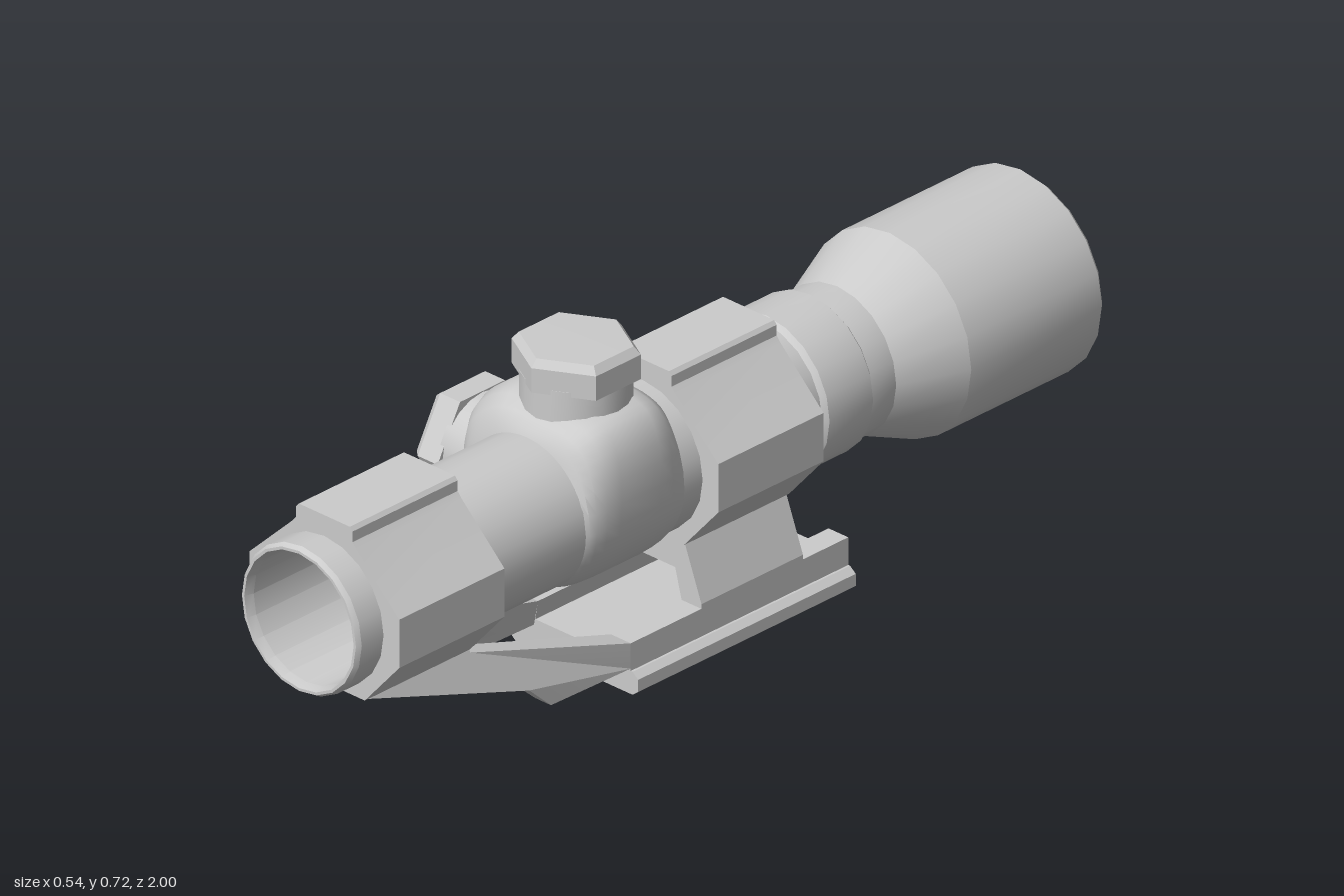
import * as THREE from 'three';
import { toCreasedNormals } from 'three/addons/utils/BufferGeometryUtils.js';

const material = new THREE.MeshStandardMaterial({ color: 0xcccccc, side: THREE.DoubleSide });
const CX = 0.053, CY = 0.395; // optical axis

function part(name, geometry, parent, crease = 0.35) {
  const mesh = new THREE.Mesh(toCreasedNormals(geometry, crease), material);
  mesh.name = name;
  parent.add(mesh);
  return mesh;
}

const shapeOf = (pts) => new THREE.Shape(pts.map(([x, y]) => new THREE.Vector2(x, y)));

// Extrude an x-y section between two z positions
function extrudeZ(shape, z0, z1) {
  const g = new THREE.ExtrudeGeometry(shape, { depth: z1 - z0, bevelEnabled: false, curveSegments: 20 });
  return g.translate(0, 0, z0);
}

// Half widths of the tapered mount at height y
const outerX = (y) => 0.15 - 0.045 * Math.max(0, (y - 0.12) / 0.117);
const innerX = (y) => 0.108 - 0.028 * Math.max(0, (y - 0.07) / 0.105);

// Extrude a z-y outline across x, then lean its sides with the taper
function sideProfile(pts, innerOf, outerOf) {
  const g = new THREE.ExtrudeGeometry(shapeOf(pts.map(([z, y]) => [-z, y])), { depth: 1, bevelEnabled: false });
  g.rotateY(Math.PI / 2); // depth -> +x, outline x -> -z
  const p = g.attributes.position;
  for (let i = 0; i < p.count; i++) {
    const y = p.getY(i);
    p.setX(i, p.getX(i) > 0.5 ? outerOf(y) : innerOf(y));
  }
  return g;
}

// Central housing: circular ends swelling into a lobed section
function saddleGeometry() {
  const section = new THREE.CatmullRomCurve3([
    [0.172, 0], [0.168, 0.13], [0.137, 0.19], [0.09, 0.207], [0, 0.207], [-0.1, 0.212], [-0.16, 0.18],
    [-0.2, 0.135], [-0.213, 0.08], [-0.21, 0], [-0.21, -0.08], [-0.213, -0.11], [-0.18, -0.147],
    [-0.1, -0.173], [0, -0.172], [0.1, -0.14], [0.155, -0.07],
  ].map(([x, y]) => new THREE.Vector3(x, y, 0)), true);
  const n = 48;
  const rings = [[0.1, 0], [0.105, 0.3], [0.12, 0.6], [0.145, 0.85], [0.18, 1],
    [0.29, 1], [0.325, 0.85], [0.35, 0.6], [0.365, 0.3], [0.372, 0]];
  const pos = [], idx = [];
  rings.forEach(([z, blend], r) => {
    for (let i = 0; i < n; i++) {
      const s = section.getPoint(i / n);
      const c = s.clone().setLength(0.158);
      c.lerp(s, blend);
      pos.push(c.x, c.y, z);
      if (r === 0) continue;
      const j = (i + 1) % n, a = (r - 1) * n, b = r * n;
      idx.push(a + i, a + j, b + j, a + i, b + j, b + i);
    }
  });
  const g = new THREE.BufferGeometry();
  g.setAttribute('position', new THREE.Float32BufferAttribute(pos, 3));
  g.setIndex(idx);
  return g;
}

// Adjustment turret: round neck, hexagonal cap, chamfered top
function turret(name) {
  const group = new THREE.Group();
  group.name = name;
  part('turretNeck', new THREE.CylinderGeometry(0.111, 0.111, 0.13, 20).translate(0, 0.195, 0), group);
  const cap = new THREE.LatheGeometry([[0, 0.25], [0.124, 0.25], [0.124, 0.303], [0.11, 0.319], [0, 0.321]]
    .map(([r, y]) => new THREE.Vector2(r, y)), 6);
  part('turretCap', cap.scale(1.05, 1, 1), group);
  group.position.z = 0.235;
  return group;
}

export function createModel() {
  const model = new THREE.Group();
  model.name = 'scope';

  // Everything on the optical axis
  const optic = new THREE.Group();
  optic.name = 'optic';
  optic.position.set(CX, CY, 0);
  model.add(optic);

  // Hollow main tube with flared rear bell, as one closed profile
  const tubeProfile = [
    [0.208, -1], [0.217, -0.99], [0.217, -0.63], [0.157, -0.485], [0.157, -0.42], [0.168, -0.41],
    [0.168, -0.29], [0.158, -0.28], [0.158, 0.99], [0.152, 1], [0.146, 1], [0.14, 0.98],
    [0.14, -0.5], [0.204, -0.64], [0.204, -0.99], [0.208, -1],
  ].map(([r, z]) => new THREE.Vector2(r, z));
  part('mainTube', new THREE.LatheGeometry(tubeProfile, 20).rotateY(Math.PI / 2).rotateX(Math.PI / 2), optic);

  part('turretHousing', saddleGeometry(), optic, 0.6);
  optic.add(turret('topTurret'));
  const side = turret('sideTurret');
  side.rotation.z = Math.PI / 2;
  optic.add(side);

  // Faceted clamp rings with a raised top cap
  const half = [[0.108, -0.16], [0.2, -0.055], [0.2, 0.05], [0.085, 0.16], [0.075, 0.172], [0.075, 0.195], [0.068, 0.203]];
  const mirrored = half.map(([x, y]) => [-x, y]).reverse();
  const ringShape = shapeOf([...half, ...mirrored]);
  ringShape.holes.push(new THREE.Path().absarc(0, 0, 0.153, 0, Math.PI * 2, true));
  part('frontRing', extrudeZ(ringShape, 0.64, 0.93), optic);
  part('rearRing', extrudeZ(ringShape, -0.24, 0.05), optic);

  // Mount below the rings
  const mount = new THREE.Group();
  mount.name = 'mount';
  mount.position.x = CX;
  model.add(mount);

  const railHalf = [[0.155, 0], [0.17, 0.012], [0.17, 0.038], [0.155, 0.05]];
  const rail = shapeOf([...railHalf, ...railHalf.map(([x, y]) => [-x, y]).reverse()]);
  part('railClamp', extrudeZ(rail, -0.36, 0.24), mount);
  part('mountFloor', new THREE.BoxGeometry(0.24, 0.03, 0.6).translate(0, 0.053, -0.06), mount);

  // Hollow tapered pillar carrying the rear ring
  const pillar = shapeOf([[-0.15, 0.05], [0.15, 0.05], [0.15, 0.12], [0.105, 0.238], [-0.105, 0.238], [-0.15, 0.12]]);
  pillar.holes.push(new THREE.Path([[-0.108, 0.068], [-0.08, 0.175], [0.08, 0.175], [0.108, 0.068]]
    .map(([x, y]) => new THREE.Vector2(x, y))));
  part('rearPillar', extrudeZ(pillar, -0.235, 0.045), mount);

  // Side walls and the forked arm reaching to the front ring
  const wall = [[0.24, 0.045], [0.24, 0.11], [-0.36, 0.11], [-0.36, 0.045]];
  const arm = [[0.93, 0.237], [0.52, 0.115], [0.46, 0.06], [0.24, 0.055], [0.24, 0.11], [0.64, 0.228], [0.64, 0.237]];
  for (const s of [1, -1]) {
    const label = s > 0 ? 'left' : 'right';
    for (const [name, pts] of [['Wall', wall], ['Arm', arm]]) {
      part(label + name, sideProfile(pts, (y) => s > 0 ? innerX(y) : -outerX(y), (y) => s > 0 ? outerX(y) : -innerX(y)), mount);
    }
  }
  part('armBridge', sideProfile([[0.93, 0.237], [0.722, 0.175], [0.70, 0.175], [0.66, 0.237]],
    (y) => -outerX(y) + 0.001, (y) => outerX(y) - 0.001), mount);

  return model;
}
